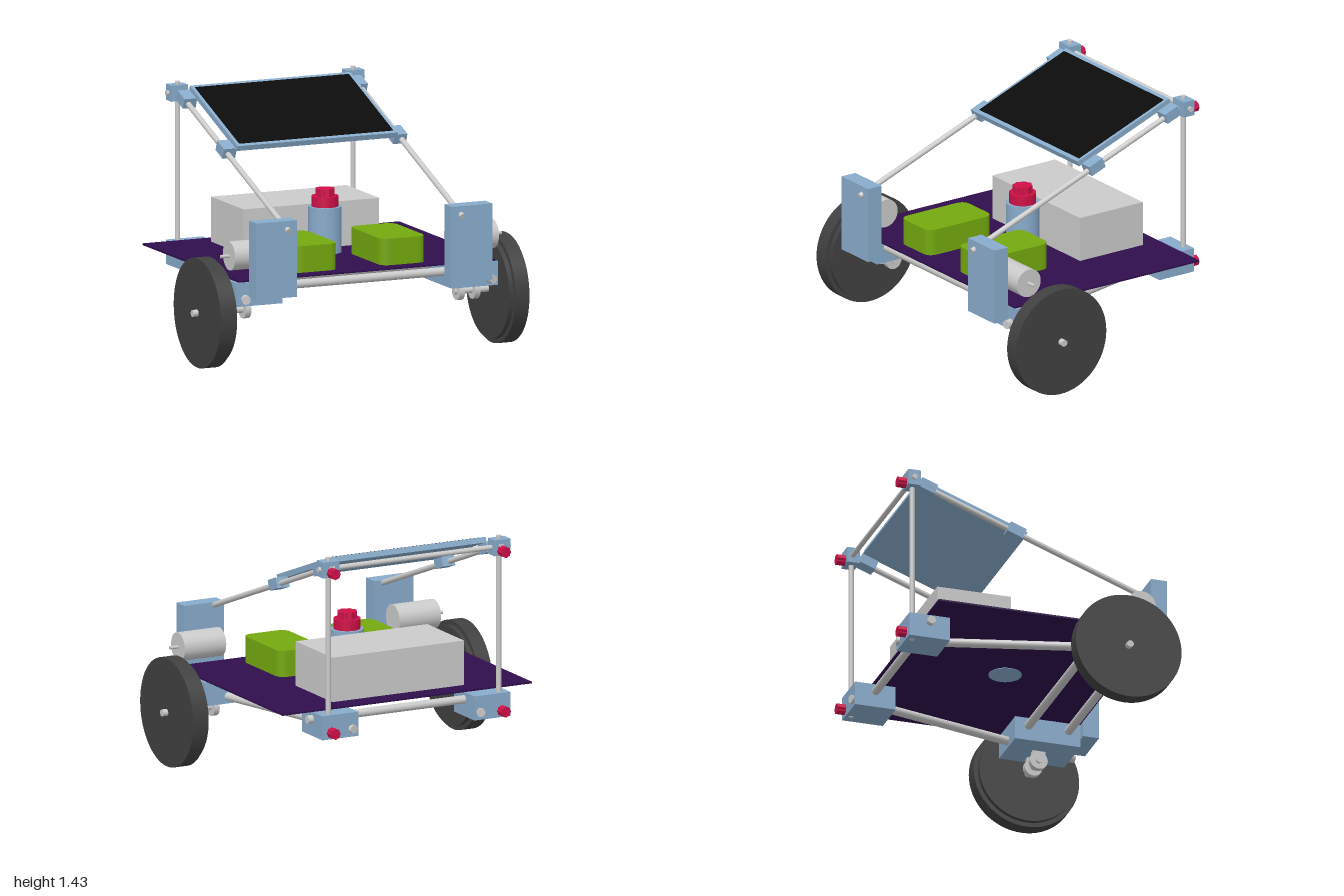
import * as THREE from 'three';

const mat = (name, color) => {
  const m = new THREE.MeshStandardMaterial({ color });
  m.name = name;
  return m;
};

export function createModel() {
  const root = new THREE.Group();
  root.name = 'solarRover';
  const blue = mat('bracket blue', 0x88abcb);
  const silver = mat('rod silver', 0xcacaca);
  const purple = mat('deck purple', 0x2f0e4c);
  const green = mat('box green', 0x74a80f);
  const red = mat('knob red', 0xcf1047);
  const tyre = mat('tyre grey', 0x404040);
  const black = mat('panel black', 0x0b0b0b);

  const add = (name, geo, m, x = 0, y = 0, z = 0, parent = root) => {
    const mesh = new THREE.Mesh(geo, m);
    mesh.name = name;
    mesh.position.set(x, y, z);
    parent.add(mesh);
    return mesh;
  };
  // box given by its min and max corners
  const block = (name, m, x0, x1, y0, y1, z0, z1) =>
    add(name, new THREE.BoxGeometry(Math.abs(x1 - x0), y1 - y0, z1 - z0), m,
      (x0 + x1) / 2, (y0 + y1) / 2, (z0 + z1) / 2);
  // cylinder between two points
  const rod = (name, a, b, r, m = silver, seg = 24) => {
    const A = new THREE.Vector3(...a), B = new THREE.Vector3(...b);
    const d = B.clone().sub(A);
    const mesh = add(name, new THREE.CylinderGeometry(r, r, d.length(), seg), m);
    mesh.position.copy(A).add(B).multiplyScalar(0.5);
    mesh.quaternion.setFromUnitVectors(new THREE.Vector3(0, 1, 0), d.normalize());
    return mesh;
  };
  // scalloped grip, extruded along +z
  const knobGeo = (r, depth) => {
    const pts = [];
    for (let i = 0; i < 48; i++) {
      const a = (i / 48) * Math.PI * 2;
      const q = r * (0.94 + 0.06 * Math.cos(a * 8));
      pts.push(new THREE.Vector2(q * Math.cos(a), q * Math.sin(a)));
    }
    return new THREE.ExtrudeGeometry(new THREE.Shape(pts), { depth, bevelEnabled: false });
  };

  // deck
  block('deck', purple, -0.805, 0.805, 0.515, 0.525, -0.62, 0.67);
  block('equipmentCase', silver, -0.43, 0.42, 0.525, 0.785, -0.505, -0.065);

  // green boxes with rounded vertical corners
  const w = 0.14, l = 0.225, c = 0.06;
  const s = new THREE.Shape();
  s.moveTo(-w + c, -l);
  s.lineTo(w - c, -l); s.quadraticCurveTo(w, -l, w, -l + c);
  s.lineTo(w, l - c); s.quadraticCurveTo(w, l, w - c, l);
  s.lineTo(-w + c, l); s.quadraticCurveTo(-w, l, -w, l - c);
  s.lineTo(-w, -l + c); s.quadraticCurveTo(-w, -l, -w + c, -l);
  const tub = new THREE.ExtrudeGeometry(s, { depth: 0.155, bevelEnabled: false, curveSegments: 8 });
  tub.rotateX(-Math.PI / 2);
  for (const x of [-0.28, 0.272]) add('storageBox', tub, green, x, 0.523, 0.365);

  // canister with stepped grip cap
  rod('canister', [0.025, 0.512, 0.052], [0.025, 0.79, 0.052], 0.095, blue, 40);
  rod('canisterCap', [0.025, 0.79, 0.052], [0.025, 0.85, 0.052], 0.077, red, 32);
  add('canisterGrip', knobGeo(0.058, 0.042), red, 0.025, 0.85, 0.052).rotation.x = -Math.PI / 2;

  // cross rods
  rod('rearCrossRod', [-0.64, 0.47, -0.606], [0.64, 0.47, -0.606], 0.024);
  for (const z of [0.36, 0.6]) rod('frontCrossRod', [-0.7, 0.465, z], [0.7, 0.465, z], 0.025);
  rod('upperCrossRod', [-0.62, 1.365, -0.7], [0.62, 1.365, -0.7], 0.015);

  const tilt = Math.atan(0.378);
  const knob = knobGeo(0.032, 0.05);
  for (const k of [-1, 1]) {
    // lower frame
    rod('sideRod', [k * 0.41, 0.417, -0.745], [k * 0.775, 0.417, 0.71], 0.025);
    block('rearBlock', blue, k * 0.607, k * 0.375, 0.372, 0.513, -0.73, -0.487);
    block('frontBlock', blue, k * 0.82, k * 0.53, 0.375, 0.513, 0.28, 0.67);
    block('frontPlate', blue, k * 0.74, k * 0.485, 0.425, 0.868, 0.672, 0.767);

    // uprights, sloping rods and top blocks
    rod('rearPost', [k * 0.55, 0.37, -0.695], [k * 0.55, 1.43, -0.695], 0.015);
    rod('slopingRod', [k * 0.545, 0.81, 0.785], [k * 0.545, 1.385, -0.735], 0.016);
    block('topBlock', blue, k * 0.605, k * 0.5, 1.32, 1.412, -0.735, -0.66);
    for (const y of [0.412, 1.347]) add('clampKnob', knob, red, k * 0.55, y, -0.785);

    // panel clips
    for (const [y, z] of [[1.14, -0.075], [1.34, -0.605]])
      add('panelClip', new THREE.BoxGeometry(0.08, 0.062, 0.1), blue, k * 0.535, y, z).rotation.x = tilt;

    // motor
    rod('motor', [k * 0.56, 0.658, 0.588], [k * 0.827, 0.658, 0.588], 0.083, silver, 36);
    rod('motorShaft', [k * 0.82, 0.658, 0.588], [k * 0.88, 0.658, 0.588], 0.01, silver, 12);

    // wheel, axle and its hangers
    rod('wheel', [k * 0.88, 0.318, 0.463], [k * 0.968, 0.318, 0.463], 0.316, tyre, 64);
    rod('wheelInnerRim', [k * 0.853, 0.318, 0.463], [k * 0.881, 0.318, 0.463], 0.29, tyre, 64);
    rod('axle', [k * 0.64, 0.318, 0.463], [k * 1.0, 0.318, 0.463], 0.02);
    for (const x of [0.67, 0.768]) {
      rod('axleHanger', [k * (x - 0.017), 0.318, 0.463], [k * (x + 0.017), 0.318, 0.463], 0.053);
      block('hangerNeck', silver, k * (x - 0.017), k * (x + 0.017), 0.32, 0.38, 0.425, 0.501);
    }
  }

  // tilted solar panel
  const panel = new THREE.Group();
  panel.name = 'solarPanel';
  panel.position.set(0, 1.275, -0.315);
  panel.rotation.x = tilt;
  root.add(panel);
  add('panelFrame', new THREE.BoxGeometry(1.005, 0.032, 0.685), blue, 0, 0, 0, panel);
  add('panelCells', new THREE.BoxGeometry(0.965, 0.006, 0.635), black, 0, 0.016, 0, panel);

  return root;
}
